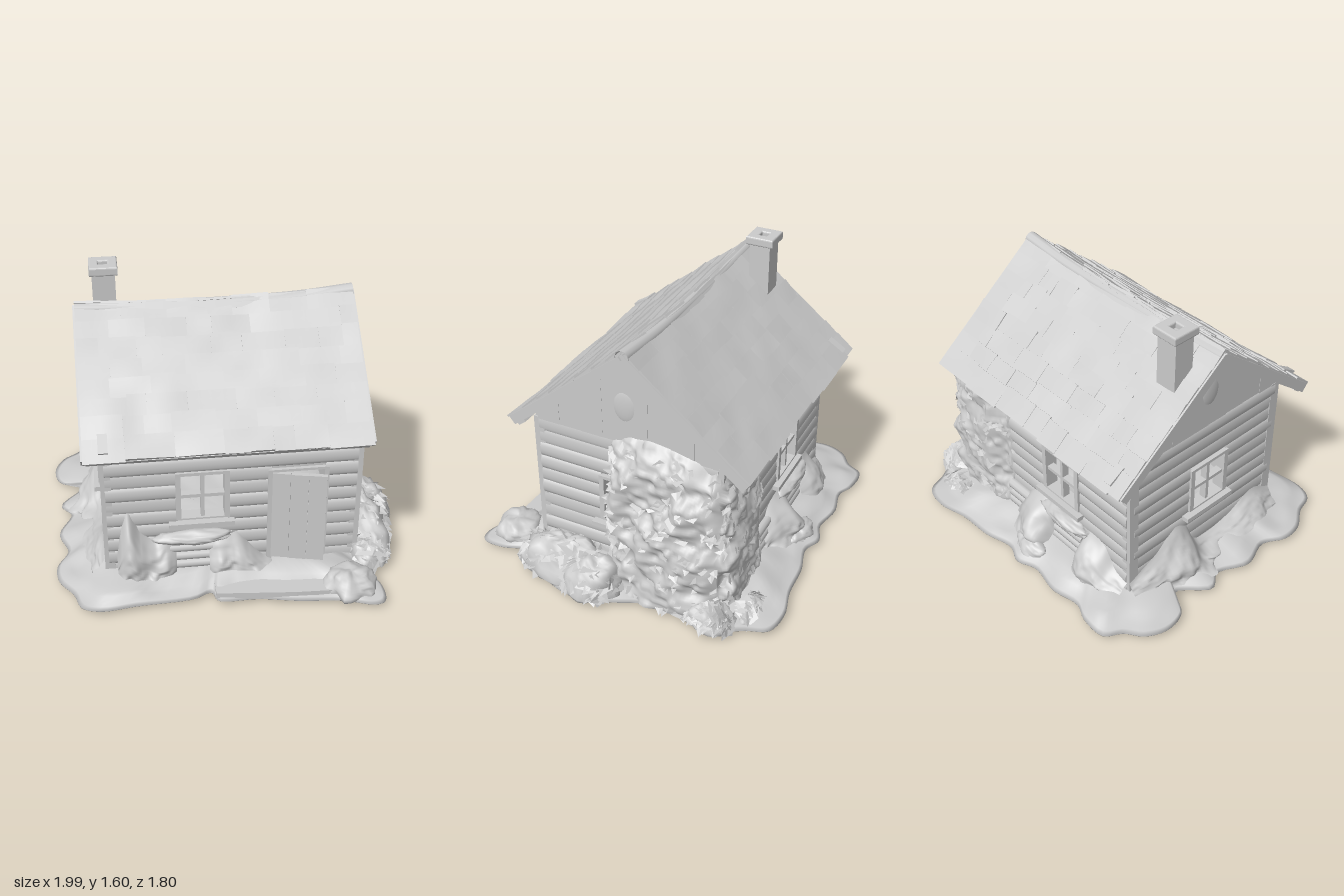
import * as THREE from 'three';
import { mergeGeometries, mergeVertices } from 'three/addons/utils/BufferGeometryUtils.js';
import { ParametricGeometry } from 'three/addons/geometries/ParametricGeometry.js';

const grey = new THREE.MeshStandardMaterial({ color: 0xcccccc });
const thin = new THREE.MeshStandardMaterial({ color: 0xcccccc, side: THREE.DoubleSide });
const leafMat = new THREE.MeshStandardMaterial({ color: 0xcccccc, side: THREE.DoubleSide, flatShading: true });

let seed = 7;
const rnd = () => { seed = (seed * 16807) % 2147483647; return seed / 2147483647; };
const jit = (a) => (rnd() - 0.5) * 2 * a;
const lerp = THREE.MathUtils.lerp;

// Smooth value noise in -1..1
const hash = (x, y, z) => { const s = Math.sin(x * 127.1 + y * 311.7 + z * 74.7) * 43758.5453; return s - Math.floor(s); };
function noise(x, y, z) {
  const i = Math.floor(x), j = Math.floor(y), k = Math.floor(z);
  const [a, b, c] = [x - i, y - j, z - k].map((t) => t * t * (3 - 2 * t));
  const edge = (dj, dk) => lerp(hash(i, j + dj, k + dk), hash(i + 1, j + dj, k + dk), a);
  return 2 * lerp(lerp(edge(0, 0), edge(1, 0), b), lerp(edge(0, 1), edge(1, 1), b), c) - 1;
}

function add(parent, name, geo, mat = grey) {
  const m = new THREE.Mesh(geo, mat);
  m.name = name;
  parent.add(m);
  return m;
}
const box = (x0, x1, y0, y1, z0, z1, segs = 1) =>
  new THREE.BoxGeometry(x1 - x0, y1 - y0, z1 - z0, segs).translate((x0 + x1) / 2, (y0 + y1) / 2, (z0 + z1) / 2);
const vec2s = (pts) => pts.map((p) => new THREE.Vector2(...p));
const rect = (C, x0, x1, y0, y1) => new C(vec2s([[x0, y0], [x1, y0], [x1, y1], [x0, y1]]));

// Four-pane window in an opening [x0, x1, y0, y1]
function windowFrame(parent, [x0, x1, y0, y1]) {
  const f = 0.018, cx = (x0 + x1) / 2, cy = (y0 + y1) / 2;
  add(parent, 'windowFrame', mergeGeometries([
    box(x0 - 0.01, x0 + f, y0, y1, -0.05, 0.025), box(x1 - f, x1 + 0.01, y0, y1, -0.05, 0.025),
    box(x0 - 0.01, x1 + 0.01, y1 - 0.008, y1 + 0.01, -0.05, 0.025), box(x0, x1, y0, y0 + 0.01, -0.05, 0.025),
    box(cx - 0.01, cx + 0.01, y0, y1, -0.03, 0.012), box(x0, x1, cy - 0.01, cy + 0.01, -0.03, 0.012)]));
  add(parent, 'windowSill', box(x0 - 0.05, x1 + 0.035, y0 - 0.04, y0 - 0.012, -0.04, 0.05));
}

// Log wall facing local +z; a gable wall continues up to its peak
function logWall(parent, name, w, openings, gable) {
  const g = new THREE.Group(), h = w / 2, top = 0.97, peak = 1.405;
  g.name = name;
  parent.add(g);
  const shape = new THREE.Shape(vec2s([[-h, 0.05], [h, 0.05], [h, top], ...(gable ? [[0, peak]] : []), [-h, top]]));
  shape.holes = openings.map((o) => rect(THREE.Path, ...o));
  add(g, 'wallPanel', new THREE.ExtrudeGeometry(shape, { depth: 0.045, bevelEnabled: false }).translate(0, 0, -0.045), thin);
  const logs = [];
  for (let y = 0.1; y < 0.93; y += 0.081) {
    let spans = [[-h + 0.02, h - 0.02]];
    for (const [a, b, y0, y1] of openings) {
      if (y > y0 - 0.03 && y < y1 + 0.03) spans = spans.flatMap(([s, e]) => (s < a && b < e ? [[s, a], [b, e]] : [[s, e]]));
    }
    for (const [s, e] of spans) {
      logs.push(new THREE.CylinderGeometry(0.046, 0.046, e - s, 12).rotateZ(Math.PI / 2)
        .scale(1, 1, 0.32 + jit(0.1)).rotateZ(jit(0.005)).translate((s + e) / 2, y, 0));
    }
  }
  add(g, 'logs', mergeGeometries(logs));
  // Upright boards closing the gable
  if (gable) {
    const boards = [], n = 8, roofY = (x) => lerp(peak, top, Math.abs(x) / h);
    for (let i = 0; i < n; i++) {
      const a = -h + 0.02 + (i / n) * (w - 0.04), b = a + (w - 0.04) / n;
      const s = new THREE.Shape(vec2s([[a, 0.94], [b, 0.94], [b, roofY(b)], [a, roofY(a)]]));
      boards.push(new THREE.ExtrudeGeometry(s, { depth: 0.008 + rnd() * 0.004, bevelEnabled: false }));
    }
    add(g, 'gableBoards', mergeGeometries(boards));
    add(g, 'gableKnot', new THREE.SphereGeometry(0.07, 20, 14).scale(1, 1.4, 0.25).translate(0, 1.16, 0.001));
  }
  return g;
}

// One roof slope running down local +z from the ridge
function roofSlope(parent, name, turn) {
  const g = new THREE.Group(), s = new THREE.Group(), L = 0.865, W = 1.49, flip = turn ? -1 : 1;
  g.name = name;
  g.position.set(-0.045, 1.435, -0.04);
  g.rotation.y = turn;
  s.rotation.x = Math.atan2(0.53, 0.69);
  parent.add(g);
  g.add(s);
  // Ends of the roof lift, the right one more, fading toward the eave; the surface ripples
  const sag = (geo) => {
    const p = geo.attributes.position;
    for (let i = 0; i < p.count; i++) {
      const x = p.getX(i) * flip / W * 2, k = 1 - 0.7 * p.getZ(i) / L;
      p.setY(i, p.getY(i) + k * x * x * (x > 0 ? 0.025 : 0.008) + 0.005 * noise(x * 5, p.getZ(i) * 7, turn));
    }
    geo.computeVertexNormals();
    return geo;
  };
  add(s, 'roofDeck', sag(box(-W / 2, W / 2, -0.05, -0.004, -0.02, L, 16)));
  const tiles = [], rows = 8;
  for (let r = 0; r < rows; r++) {
    for (let x = -W / 2; x < W / 2 - 0.01;) {
      let e = Math.min(x + 0.1 + rnd() * 0.16, W / 2);
      if (W / 2 - e < 0.08) e = W / 2;
      tiles.push(new THREE.BoxGeometry(e - x, 0.012, 0.13, 4, 1, 3).rotateX(0.06 + jit(0.035)).rotateZ(jit(0.025))
        .translate((x + e) / 2, 0.003, (r + 0.5) * L / rows + jit(0.01)));
      x = e;
    }
  }
  add(s, 'shingles', sag(mergeGeometries(tiles)));
  add(s, 'eaveBoard', box(-W / 2 + 0.015, W / 2 - 0.015, -0.062, -0.03, L - 0.05, L + 0.004));
  for (const e of [-1, 1]) add(s, 'bargeBoard', sag(box(e * W / 2 - 0.01, e * W / 2 + 0.01, -0.055, 0, 0, L)));
  add(s, 'looseShingle', new THREE.BoxGeometry(0.05, 0.012, 0.11).rotateX(-0.1).translate(-0.64 * flip, 0.018, L - 0.08));
}

// Broad folded leaves laid on [position, normal] samples
function leaves(parent, name, samples, size) {
  const v = [], q = new THREE.Quaternion(), up = new THREE.Vector3(0, 0, 1);
  for (const [p, n] of samples) {
    q.setFromUnitVectors(up, n.clone().add(new THREE.Vector3(jit(0.35), 0.25 + jit(0.3), jit(0.35))).normalize());
    const s = size * (0.6 + rnd() * 0.7), a = jit(1.2);
    const [base, l, tip, r] = [[0, 0.6, -0.2], [-0.5, 0.05, 0], [0, -0.75, 0.12], [0.5, 0.05, 0]].map((c) =>
      new THREE.Vector3(...c).multiplyScalar(s).applyAxisAngle(up, a).applyQuaternion(q).add(p));
    for (const c of [base, l, tip, base, tip, r]) v.push(c.x, Math.max(c.y, 0), c.z);
  }
  const geo = new THREE.BufferGeometry().setAttribute('position', new THREE.Float32BufferAttribute(v, 3));
  geo.computeVertexNormals();
  add(parent, name, geo, leafMat);
}

// Rough ellipsoid clump, optionally covered in leaves
function clump(parent, name, [x, y, z, rx, ry, rz], leafCount = 0) {
  let geo = new THREE.SphereGeometry(1, 32, 24);
  geo.deleteAttribute('uv');
  geo.deleteAttribute('normal');
  geo = mergeVertices(geo, 1e-4);
  const p = geo.attributes.position;
  for (let i = 0; i < p.count; i++) {
    const a = p.getX(i), b = p.getY(i), c = p.getZ(i);
    const k = 1 + 0.2 * noise(a * 1.7 + x * 9, b * 1.7, c * 1.7 + z * 9) + 0.12 * noise(a * 5, b * 5 + x * 9, c * 5);
    p.setXYZ(i, x + a * rx * k, Math.max(0.035, y + b * ry * k), z + c * rz * k);
  }
  geo.computeVertexNormals();
  add(parent, name, geo);
  const samples = [];
  for (let i = 0; i < leafCount; i++) {
    const n = new THREE.Vector3(jit(1), rnd(), jit(1)).normalize();
    samples.push([new THREE.Vector3(x + n.x * rx, y + n.y * ry, z + n.z * rz), n]);
  }
  if (leafCount) leaves(parent, name + 'Leaves', samples, 0.08);
}

// Growth banked against a wall: [x, height] skyline, reach from the wall, bulge (below 1 is hollow)
function bank(wall, skyline, reach, bulge) {
  const line = new THREE.CatmullRomCurve3(skyline.map(([x, y]) => new THREE.Vector3(x, y, 0)));
  add(wall, 'overgrowth', new ParametricGeometry((u, v, t) => {
    line.getPoint(u, t);
    const out = reach * (1 - Math.pow(v, bulge)) * Math.pow(Math.sin(Math.PI * lerp(0.06, 0.94, u)), 0.4);
    const n = noise(t.x * 11, v * 3, wall.position.z * 7);
    t.set(t.x, lerp(0.05, t.y, v), 0.012 + out * (1 + 0.4 * n) + 0.012 * noise(t.x * 30, v * 9, 3) * (1 - v));
  }, 50, 24), thin);
}

export function createModel() {
  const model = new THREE.Group();
  model.name = 'cottage';

  // Ground patch with a scalloped rim
  const rim = [[-0.8, -0.86], [-0.65, -0.86], [-0.55, -0.82], [-0.38, -0.85], [-0.2, -0.82], [-0.08, -0.86], [0.03, -0.82],
    [0.2, -0.86], [0.4, -0.87], [0.58, -0.91], [0.72, -0.88], [0.77, -0.77], [0.86, -0.6], [0.84, -0.4], [0.83, -0.2], [0.9, -0.03],
    [0.95, 0.2], [0.9, 0.37], [0.84, 0.5], [0.74, 0.6], [0.78, 0.75], [0.77, 0.87], [0.71, 0.89], [0.55, 0.84], [0.3, 0.81],
    [0.1, 0.77], [-0.12, 0.76], [-0.15, 0.69], [-0.25, 0.73], [-0.55, 0.75], [-0.75, 0.77], [-0.85, 0.73], [-0.89, 0.62], [-0.97, 0.5],
    [-0.98, 0.38], [-0.92, 0.25], [-0.97, 0.08], [-0.9, -0.1], [-0.96, -0.2], [-0.84, -0.37], [-0.97, -0.45], [-1, -0.58], [-0.95, -0.7], [-0.86, -0.77]];
  const rimCurve = new THREE.CatmullRomCurve3(rim.map(([x, z]) => new THREE.Vector3(x, 0, z)), true);
  const section = [[0.001, 0.03], [1, 0.03], [1, 0.04], [0.92, 0.065], [0.8, 0.1], [0.001, 0.1]];
  add(model, 'ground', new ParametricGeometry((u, v, t) => {
    const f = v * 5, i = Math.min(4, Math.floor(f)), k = lerp(section[i][0], section[i + 1][0], f - i);
    rimCurve.getPoint(u % 1, t).multiplyScalar(k);
    t.y = lerp(section[i][1], section[i + 1][1], f - i) + (f > 2 ? 0.018 * noise(t.x * 7, 0, t.z * 7) * (f > 3 ? 1 : f - 2) : 0);
  }, 180, 20), thin);

  // Walls: openings are [x0, x1, y0, y1] in each wall's own frame
  const front = logWall(model, 'frontWall', 1.39, [[-0.295, -0.025, 0.41, 0.7], [0.21, 0.5, 0.1, 0.68]]);
  front.position.set(-0.015, 0, 0.5);
  const back = logWall(model, 'backWall', 1.39, [[0.025, 0.295, 0.41, 0.7]]);
  back.position.set(-0.015, 0, -0.58);
  back.rotation.y = Math.PI;
  const right = logWall(model, 'rightGable', 1.08, [[-0.15, 0.11, 0.41, 0.69]], true);
  right.position.set(0.68, 0, -0.04);
  right.rotation.y = Math.PI / 2;
  const left = logWall(model, 'leftGable', 1.08, [[-0.11, 0.15, 0.41, 0.69]], true);
  left.position.set(-0.7, 0, -0.04);
  left.rotation.y = -Math.PI / 2;
  windowFrame(front, [-0.295, -0.025, 0.41, 0.7]);
  windowFrame(back, [0.025, 0.295, 0.41, 0.7]);
  windowFrame(right, [-0.15, 0.11, 0.41, 0.69]);
  windowFrame(left, [-0.11, 0.15, 0.41, 0.69]);
  for (const x of [-0.685, 0.66]) for (const z of [-0.56, 0.48]) {
    add(model, 'cornerPost', box(x - 0.028, x + 0.028, 0.04, 0.95, z - 0.03, z + 0.03));
  }

  // Plank door standing ajar
  add(front, 'doorFrame', mergeGeometries([box(0.19, 0.215, 0.1, 0.69, -0.04, 0.02),
    box(0.495, 0.52, 0.1, 0.69, -0.04, 0.02), box(0.19, 0.52, 0.675, 0.69, -0.04, 0.02)]));
  const door = new THREE.Group();
  door.name = 'door';
  door.position.set(0.215, 0, 0.015);
  door.rotation.y = -0.24;
  front.add(door);
  for (let i = 0; i < 3; i++) add(door, 'doorPlank', box(i * 0.097, i * 0.097 + 0.096, 0.12, 0.675, -0.012, 0.012 + 0.003 * (i % 2)));
  for (const y of [0.22, 0.56]) add(door, 'doorBatten', box(0.01, 0.28, y, y + 0.04, -0.022, -0.01));
  const step = new THREE.Shape(vec2s([[-0.13, -0.5], [-0.13, -0.75], [0.3, -0.79], [0.56, -0.8], [0.56, -0.5]]));
  add(model, 'doorStep', new THREE.ExtrudeGeometry(step, { depth: 0.04, bevelEnabled: false }).rotateX(-Math.PI / 2).translate(0, 0.035, 0));

  // Roof with a gently sagging ridge roll
  roofSlope(model, 'frontRoof', 0);
  roofSlope(model, 'backRoof', Math.PI);
  const ridge = new THREE.CatmullRomCurve3([[-0.79, 1.42], [-0.4, 1.407], [0, 1.408], [0.4, 1.42], [0.705, 1.45]]
    .map(([x, y]) => new THREE.Vector3(x, y, -0.042)));
  add(model, 'ridgeCap', new THREE.TubeGeometry(ridge, 24, 0.038, 10), thin);

  // Chimney with a hollow cap
  add(model, 'chimneyShaft', box(-0.69, -0.565, 1.15, 1.57, -0.28, -0.16));
  const cap = rect(THREE.Shape, -0.696, -0.558, 0.148, 0.292);
  cap.holes.push(rect(THREE.Path, -0.66, -0.595, 0.19, 0.25));
  add(model, 'chimneyCap', new THREE.ExtrudeGeometry(cap, { depth: 0.03, bevelSize: 0.008, bevelThickness: 0.01, bevelSegments: 3 })
    .rotateX(-Math.PI / 2).translate(0, 1.563, 0));

  // Ivy wrapped around the back right corner
  const path = new THREE.CatmullRomCurve3([[0.66, 0.05], [0.76, 0.01], [0.8, -0.15], [0.8, -0.38], [0.77, -0.57], [0.66, -0.65], [0.42, -0.66], [0.2, -0.56]]
    .map(([x, z]) => new THREE.Vector3(x, 0, z)));
  const ivy = (u, v, t) => {
    path.getPoint(u, t);
    const wx = Math.min(t.x, 0.66), wz = Math.max(t.z, -0.56);
    const k = 1.2 - 0.25 * v - 0.9 * Math.pow(v, 10);
    t.set(wx + (t.x - wx) * k, 0.03 + v * (0.98 - 0.08 * THREE.MathUtils.smoothstep(u, 0.3, 0.65)), wz + (t.z - wz) * k);
    const n = 0.034 * noise(t.x * 10, t.y * 10, t.z * 10) + 0.015 * noise(t.x * 26, t.y * 26, t.z * 26);
    t.x += n * (t.x > 0.69 ? 1 : 0.2);
    t.z += n * (t.z < -0.6 ? -1 : 0.5);
  };
  add(model, 'ivy', new ParametricGeometry(ivy, 100, 80), thin);
  const ivySamples = [];
  for (let i = 0; i < 280; i++) {
    const p = new THREE.Vector3();
    ivy(0.03 + 0.94 * rnd(), rnd() * 0.95, p);
    const out = new THREE.Vector3(Math.max(0, p.x - 0.66), 0.01, Math.min(0, p.z + 0.56)).normalize();
    ivySamples.push([p, out]);
  }
  leaves(model, 'ivyLeaves', ivySamples, 0.055);

  // Leafy bushes beside the right wall
  for (const [n, ...c] of [[110, 0.78, 0.05, 0.3, 0.13, 0.22, 0.26], [100, 0.82, 0.05, 0.12, 0.14, 0.2, 0.18],
    [50, 0.75, 0.05, 0.5, 0.1, 0.13, 0.11], [110, 0.8, 0.05, -0.58, 0.09, 0.11, 0.12], [50, 0.62, 0.04, -0.74, 0.12, 0.06, 0.05]]) clump(model, 'leafyBush', c, n);

  // Overgrowth banked on the walls, with an arch over each log stack
  bank(front, [[-0.63, 0.2], [-0.6, 0.38], [-0.565, 0.47], [-0.5, 0.35], [-0.42, 0.28], [-0.36, 0.32], [-0.31, 0.3]], 0.1, 2.2);
  bank(front, [[-0.13, 0.28], [-0.08, 0.31], [0.02, 0.3], [0.09, 0.22], [0.17, 0.13], [0.22, 0.1]], 0.12, 2.2);
  bank(back, [[-0.2, 0.15], [-0.1, 0.29], [0.02, 0.33], [0.08, 0.3], [0.12, 0.2]], 0.16, 2);
  bank(back, [[0.33, 0.2], [0.38, 0.32], [0.5, 0.3], [0.58, 0.2], [0.68, 0.15]], 0.13, 1.8);
  bank(left, [[-0.55, 0.16], [-0.35, 0.25], [-0.22, 0.36], [-0.14, 0.32], [-0.05, 0.16], [0.2, 0.17], [0.4, 0.25], [0.55, 0.18]], 0.18, 0.75);
  for (const c of [[-0.23, 0.3, 0.53, 0.2, 0.04, 0.06], [-0.23, 0.3, -0.61, 0.18, 0.045, 0.06],
    [0.61, 0.05, 0.73, 0.15, 0.1, 0.13], [-0.06, 0.05, -0.74, 0.12, 0.07, 0.07]]) clump(model, 'overgrowth', c);
  for (const [x, z] of [[-0.24, 0.52], [-0.24, -0.6], [0.15, -0.6]]) {
    for (let i = 0; i < 3; i++) {
      add(model, 'stackedLog', new THREE.CylinderGeometry(0.03, 0.03, 0.24, 10).rotateZ(Math.PI / 2).translate(x, 0.12 + i * 0.055, z));
    }
  }
  return model;
}
